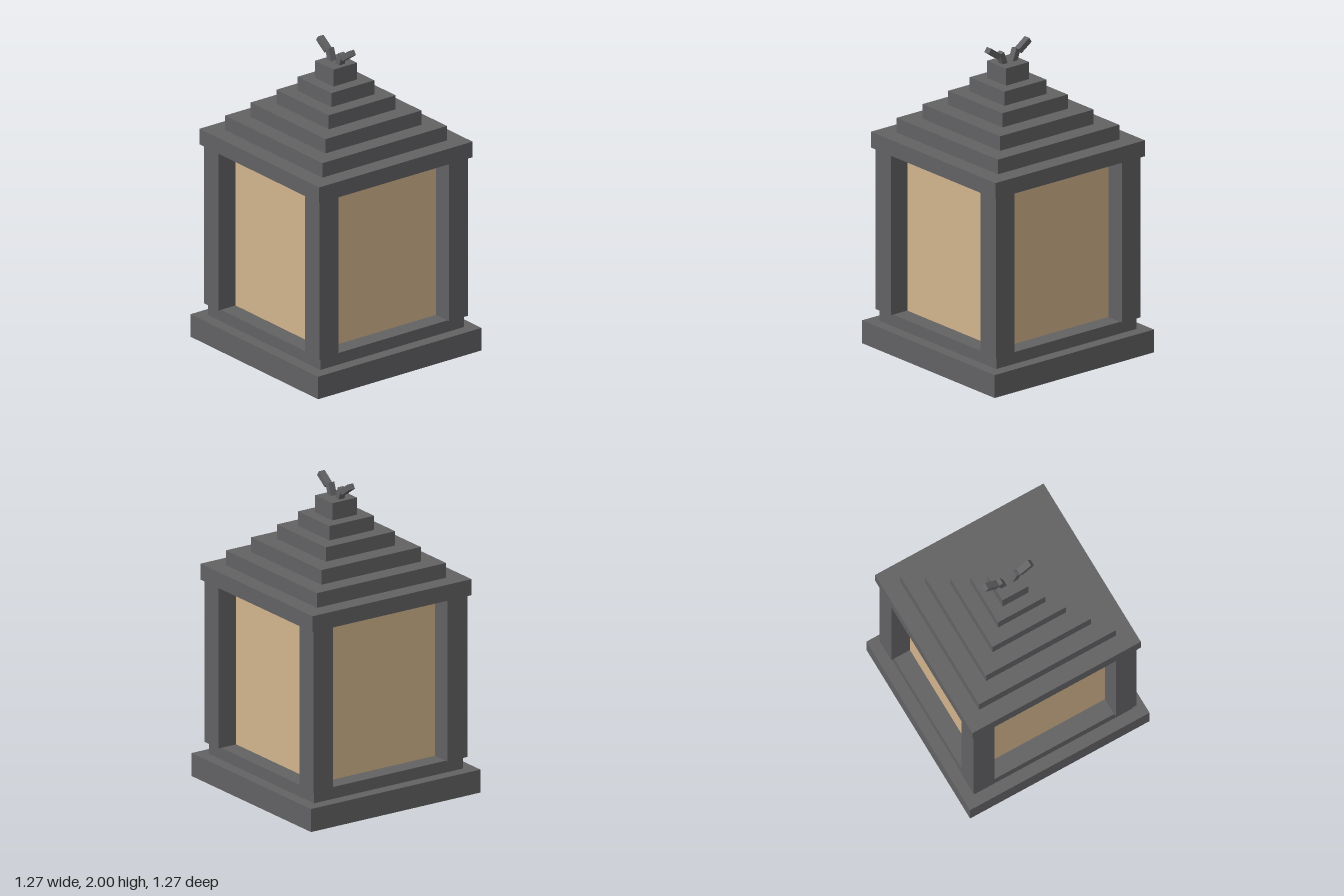
import * as THREE from 'three';

export function createModel() {
  const group = new THREE.Group();
  const stone = new THREE.MeshStandardMaterial({ color: 0x626264 });
  stone.name = 'dark stone';
  const paper = new THREE.MeshStandardMaterial({ color: 0xd2b48c });
  paper.name = 'tan paper';

  const box = (name, material, [w, h, d], [x, y, z], tilt = 0) => {
    const mesh = new THREE.Mesh(new THREE.BoxGeometry(w, h, d), material);
    mesh.name = name;
    mesh.position.set(x, y, z);
    mesh.rotation.z = tilt;
    group.add(mesh);
  };
  // Square slab given by half width and its bottom and top heights
  const slab = (name, material, half, y0, y1) =>
    box(name, material, [half * 2, y1 - y0, half * 2], [0, (y0 + y1) / 2, 0]);

  // Stepped base
  slab('base', stone, 0.637, 0, 0.15);
  slab('baseStep', stone, 0.56, 0.15, 0.227);

  // Recessed lantern panels
  slab('lanternPanels', paper, 0.447, 0.227, 1.283);

  // Corner posts
  for (const x of [-1, 1])
    for (const z of [-1, 1])
      box('cornerPost', stone, [0.148, 1.056, 0.148], [x * 0.505, 0.755, z * 0.505]);

  // Stepped roof
  const halves = [0.598, 0.486, 0.374, 0.261, 0.168, 0.092];
  const heights = [1.283, 1.387, 1.483, 1.578, 1.671, 1.764, 1.876];
  halves.forEach((half, i) => slab('roofTier' + (i + 1), stone, half, heights[i], heights[i + 1]));

  // Pair of bent horns on top
  for (const s of [-1, 1]) {
    box('hornStem', stone, [0.036, 0.105, 0.043], [s * 0.048, 1.898, 0], -s * THREE.MathUtils.degToRad(20));
    box('hornTip', stone, [0.1, 0.036, 0.043], [s * 0.121, 1.957, 0], s * THREE.MathUtils.degToRad(35));
  }
  return group;
}
